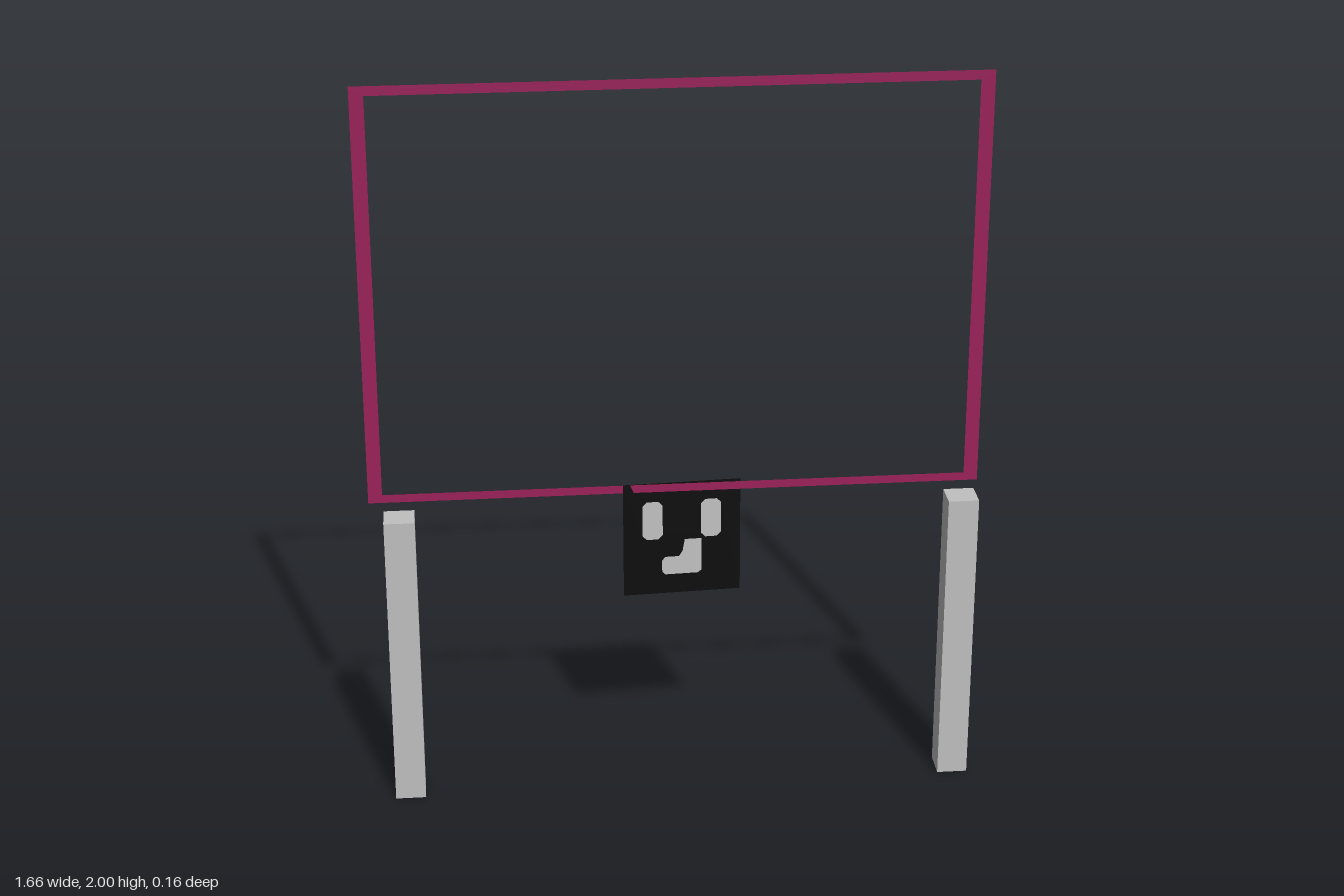
import * as THREE from 'three';

const frameMat = new THREE.MeshStandardMaterial({ name: 'magenta', color: 0x9a2059, side: THREE.DoubleSide });
const postMat = new THREE.MeshStandardMaterial({ name: 'post grey', color: 0xc0c0c0 });
const markMat = new THREE.MeshStandardMaterial({ name: 'marking grey', color: 0xc0c0c0, side: THREE.DoubleSide });
const blackMat = new THREE.MeshStandardMaterial({ name: 'black', color: 0x0a0a0a, side: THREE.DoubleSide });

const polygon = (pts) => pts.map(([x, y]) => new THREE.Vector2(x, y));
const rect = (x, y0, y1) => polygon([[-x, y0], [x, y0], [x, y1], [-x, y1]]);

// Flat sheet with optional openings
function sheet(name, points, material, holes = []) {
  const shape = new THREE.Shape(points);
  holes.forEach((h) => shape.holes.push(new THREE.Path(h)));
  const mesh = new THREE.Mesh(new THREE.ShapeGeometry(shape), material);
  mesh.name = name;
  return mesh;
}

// Upright rectangle with clipped corners
function eye(cx) {
  const cy = 0.054, w = 0.028, h = 0.056, c = 0.012;
  return polygon([
    [cx - w + c, cy - h], [cx + w - c, cy - h], [cx + w, cy - h + c], [cx + w, cy + h - c],
    [cx + w - c, cy + h], [cx - w + c, cy + h], [cx - w, cy + h - c], [cx - w, cy - h + c],
  ]);
}

export function createModel() {
  const model = new THREE.Group();

  // Thin open border
  const border = sheet('borderFrame', rect(0.832, 0.84, 2), frameMat, [rect(0.794, 0.863, 1.974)]);
  border.position.z = -0.06;
  model.add(border);

  // Two square posts
  [['leftPost', 0.77], ['rightPost', -0.75]].forEach(([name, x]) => {
    const post = new THREE.Mesh(new THREE.BoxGeometry(0.083, 0.84, 0.083), postMat);
    post.name = name;
    post.position.set(x, 0.42, 0.036);
    model.add(post);
  });

  // Slightly skewed marker panel, with grey shapes set into it
  const mouth = polygon([
    [0.008, -0.006], [0.055, -0.006], [0.055, -0.1], [0.045, -0.109], [-0.046, -0.109],
    [-0.055, -0.1], [-0.055, -0.066], [-0.046, -0.056], [-0.008, -0.056], [0.002, -0.04],
  ]);
  const marks = { rightEye: eye(-0.081), leftEye: eye(0.081), mouth };
  const panel = new THREE.Group();
  panel.name = 'markerPanel';
  panel.add(sheet('panelBacking', rect(0.162, -0.165, 0.165), blackMat, Object.values(marks)));
  for (const [name, points] of Object.entries(marks)) panel.add(sheet(name, points, markMat));
  panel.position.set(0.018, 0.699, -0.064);
  panel.rotation.set(-0.026, 0.058, 0);
  model.add(panel);

  return model;
}
